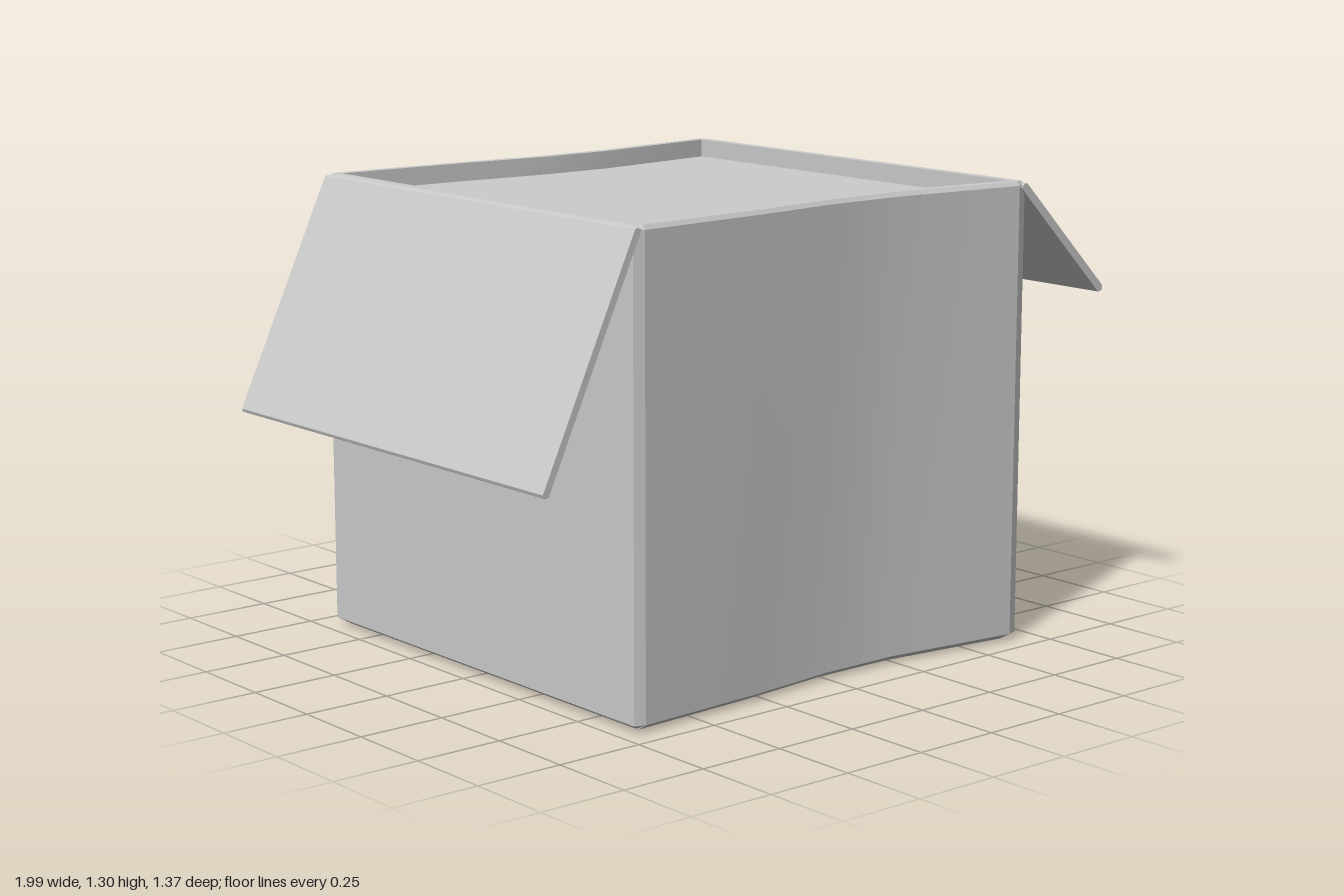
import * as THREE from 'three';
import { toCreasedNormals } from 'three/addons/utils/BufferGeometryUtils.js';

const LEFT = 0.68, RIGHT = -0.705; // side wall positions in x
// Front wall line [x, z], pinched in the middle; the back wall mirrors it
const WALL = [[RIGHT, 0.677], [-0.675, 0.687], [-0.28, 0.665], [0, 0.637], [0.24, 0.637], [0.65, 0.687], [LEFT, 0.677]];

// Closed outline at a height, moved inward by d
function ring(y, d) {
  const front = WALL.map(([x, z]) => new THREE.Vector3(THREE.MathUtils.clamp(x, RIGHT + d, LEFT - d), y, z - d));
  const back = front.map(p => new THREE.Vector3(p.x, y, -p.z)).reverse();
  return [...front, ...back];
}

// Body: rings run up the outside, over the rim and down to the sunken panel
function boxGeometry() {
  const rings = [[0, 0.033], [0.02, 0], [1.29, 0], [1.302, 0.008], [1.302, 0.035], [1.25, 0.035]].map(r => ring(...r));
  const n = rings[0].length, pts = [];
  const quad = (a, b, c, d) => pts.push(a, b, c, a, c, d);
  for (let r = 0; r < rings.length - 1; r++) {
    for (let i = 0; i < n; i++) {
      const j = (i + 1) % n;
      quad(rings[r][i], rings[r][j], rings[r + 1][j], rings[r + 1][i]);
    }
  }
  // Underside and sunken panel, as strips between front and back
  const low = rings[0], top = rings[rings.length - 1];
  for (let i = 0; i < WALL.length - 1; i++) {
    const a = n - 1 - i, b = n - 2 - i;
    quad(top[i], top[i + 1], top[b], top[a]);
    quad(low[a], low[b], low[i + 1], low[i]);
  }
  return toCreasedNormals(new THREE.BufferGeometry().setFromPoints(pts), 0.25);
}

// Flap: thin board from the rim (x0, y0) to its tip, with bevelled long edges
function flapGeometry(x0, y0, x1, y1, t) {
  const side = Math.sign(x1 - x0), b = t * 0.3, depth = 1.374;
  const along = new THREE.Vector2(x1 - x0, y1 - y0);
  const len = along.length();
  along.normalize();
  const under = new THREE.Vector2(along.y, -along.x).multiplyScalar(side);
  const at = (u, v) => new THREE.Vector2(x0, y0).addScaledVector(along, u).addScaledVector(under, v);
  const shape = new THREE.Shape([at(0, b), at(b, 0), at(len - b, 0), at(len, b), at(len, t - b), at(len - b, t), at(0, t)]);
  const geometry = new THREE.ExtrudeGeometry(shape, { depth, bevelEnabled: false });
  return geometry.translate(0, 0, -depth / 2);
}

export function createModel() {
  const group = new THREE.Group();
  const material = new THREE.MeshStandardMaterial({ color: 0xcccccc });
  const add = (name, geometry) => {
    const mesh = new THREE.Mesh(geometry, material);
    mesh.name = name;
    group.add(mesh);
  };
  add('boxBody', boxGeometry());
  add('leftFlap', flapGeometry(0.675, 1.3, 1.0, 0.975, 0.024));
  add('rightFlap', flapGeometry(-0.703, 1.3, -1.0, 0.663, 0.02));
  return group;
}
